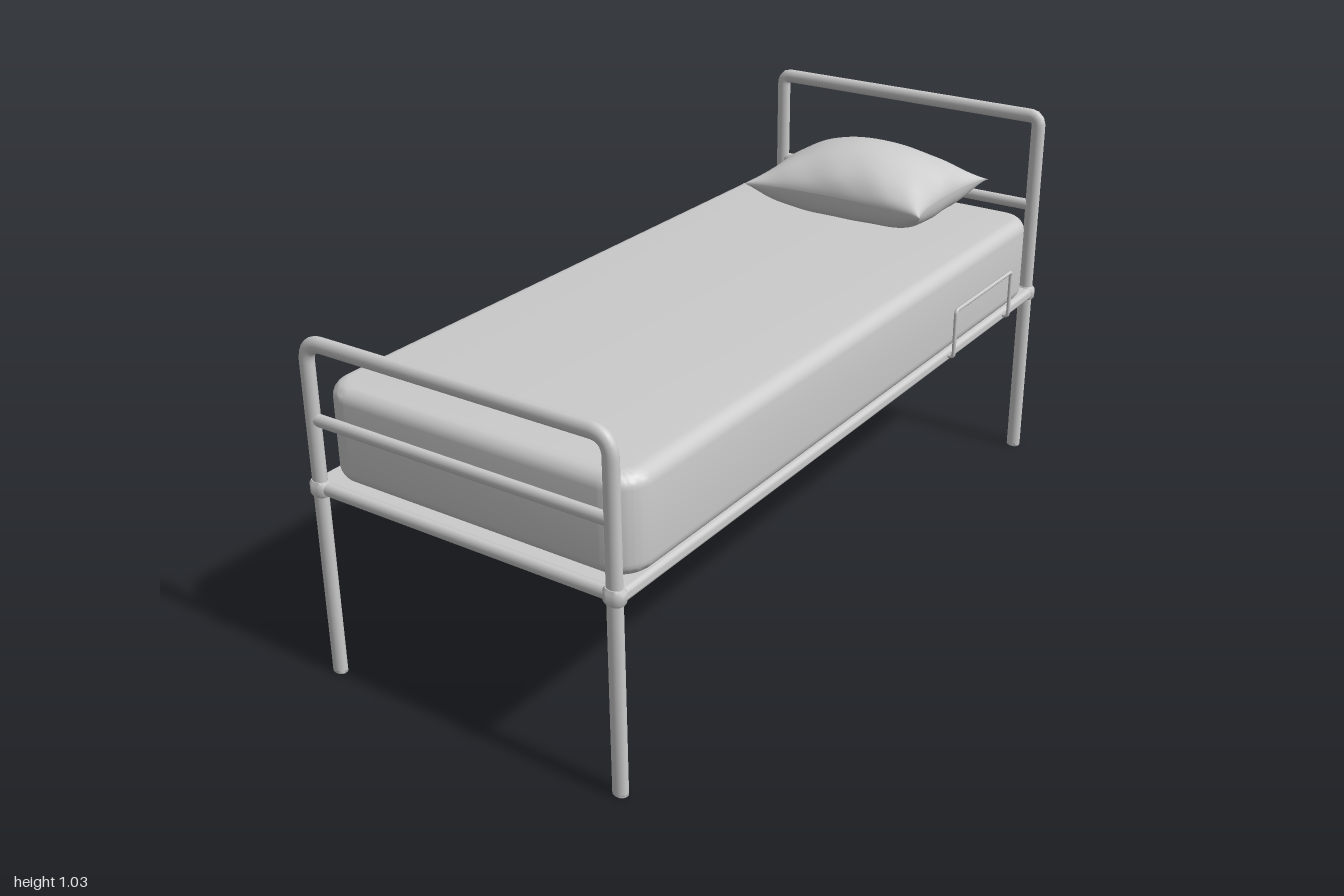
import * as THREE from 'three';
import { toCreasedNormals, mergeGeometries } from 'three/addons/utils/BufferGeometryUtils.js';
import { RoundedBoxGeometry } from 'three/addons/geometries/RoundedBoxGeometry.js';

const CX = -0.009;   // bed frame centre in x
const HALF = 0.412;  // half spacing of the posts
const END_Z = 0.985; // distance of the end frames from the middle
const R = 0.0195;    // tube radius across the bed
const FLAT = 0.77;   // tubes are slightly flattened along the bed

const material = new THREE.MeshStandardMaterial({ color: 0xcccccc });

function add(parent, name, geometry) {
  const mesh = new THREE.Mesh(geometry, material);
  mesh.name = name;
  parent.add(mesh);
  return mesh;
}

// Straight runs joined by rounded corners
function bentPath(points, radius) {
  const path = new THREE.CurvePath();
  let last = points[0];
  for (let i = 1; i < points.length - 1; i++) {
    const p = points[i];
    const toward = (q) => p.clone().add(q.clone().sub(p).setLength(radius));
    const a = toward(points[i - 1]);
    const b = toward(points[i + 1]);
    path.add(new THREE.LineCurve3(last, a));
    path.add(new THREE.QuadraticBezierCurve3(a, p, b));
    last = b;
  }
  path.add(new THREE.LineCurve3(last, points[points.length - 1]));
  return path;
}

// Bent tube with posts, cross bar, rail and collars
function endFrame(name, z, topY, barY, bend) {
  const group = new THREE.Group();
  group.name = name;
  const corners = [[-HALF, 0.004], [-HALF, topY], [HALF, topY], [HALF, 0.004]]
    .map(([x, y]) => new THREE.Vector3(x, y, 0));
  add(group, 'bentTube', new THREE.TubeGeometry(bentPath(corners, bend), 260, R, 16));

  add(group, 'crossBar', new THREE.CylinderGeometry(0.016, 0.016, HALF * 2, 16).rotateZ(Math.PI / 2))
    .position.y = barY;
  add(group, 'endRail', new THREE.CylinderGeometry(0.0165, 0.0165, HALF * 2, 16).rotateZ(Math.PI / 2))
    .position.y = 0.494;

  const collar = [[0, -0.019], [0.022, -0.019], [0.027, -0.012], [0.027, 0.012], [0.022, 0.019], [0, 0.019]]
    .map(([x, y]) => new THREE.Vector2(x, y));
  const foot = [[0, 0], [R - 0.004, 0], [R, 0.004], [R, 0.01]].map(([x, y]) => new THREE.Vector2(x, y));
  for (const x of [-HALF, HALF]) {
    add(group, 'collar', toCreasedNormals(new THREE.LatheGeometry(collar, 20), 0.9)).position.set(x, 0.494, 0);
    add(group, 'footCap', toCreasedNormals(new THREE.LatheGeometry(foot, 16), 0.9)).position.x = x;
  }
  group.position.set(CX, 0, z);
  group.scale.z = FLAT;
  return group;
}

// Rounded block with soft upper and lower edges
function mattressGeometry(w, h, d, corner, soft) {
  const x = w / 2 - soft, y = d / 2 - soft, r = corner - soft;
  const s = new THREE.Shape();
  s.moveTo(-x + r, -y);
  s.lineTo(x - r, -y).absarc(x - r, -y + r, r, -Math.PI / 2, 0);
  s.lineTo(x, y - r).absarc(x - r, y - r, r, 0, Math.PI / 2);
  s.lineTo(-x + r, y).absarc(-x + r, y - r, r, Math.PI / 2, Math.PI);
  s.lineTo(-x, -y + r).absarc(-x + r, -y + r, r, Math.PI, Math.PI * 1.5);
  const g = new THREE.ExtrudeGeometry(s, {
    depth: h - soft * 2, bevelThickness: soft, bevelSize: soft, bevelSegments: 6, curveSegments: 10,
  });
  g.translate(0, 0, -(h / 2 - soft)).rotateX(-Math.PI / 2);
  return toCreasedNormals(g, 0.7);
}

// Two puffed sheets meeting at a seam with pulled-out corners
function pillowGeometry() {
  const sheets = [1, -1].map((side) => {
    const g = new THREE.PlaneGeometry(2, 2, 44, 44).rotateX(-side * Math.PI / 2);
    const p = g.attributes.position;
    for (let i = 0; i < p.count; i++) {
      const u = Math.sin(p.getX(i) * Math.PI / 2);
      const v = Math.sin(p.getZ(i) * Math.PI / 2);
      const fu = Math.max(0, 1 - u * u), fv = Math.max(0, 1 - v * v);
      const puff = Math.pow(fu * fv, 0.55);
      const rim = Math.max(Math.abs(u), Math.abs(v));
      const crease = 0.005 * Math.sin(9 * u + 2 * v) * Math.sin(8 * v - 3 * u) * rim ** 3 * Math.min(1, puff * 3);
      const height = side > 0 ? 0.115 * puff + crease : -0.078 * Math.tanh(2.4 * puff) + crease * 0.5;
      p.setXYZ(i,
        0.277 * u * (1 - 0.12 * Math.pow(fv, 0.6)),
        height,
        0.207 * v * (1 - 0.17 * Math.pow(fu, 0.6)));
    }
    g.computeVertexNormals();
    return g;
  });
  return mergeGeometries(sheets);
}

export function createModel() {
  const bed = new THREE.Group();
  bed.name = 'bed';

  bed.add(endFrame('headboard', -END_Z, 1.011, 0.755, 0.026));
  bed.add(endFrame('footboard', END_Z, 0.852, 0.665, 0.05));

  // Platform with its edge forming the side rails
  add(bed, 'platform', new RoundedBoxGeometry(0.87, 0.032, END_Z * 2, 3, 0.011)).position.set(CX, 0.494, 0);

  add(bed, 'mattress', mattressGeometry(0.85, 0.238, 1.91, 0.08, 0.035)).position.set(0.003, 0.626, 0.01);

  add(bed, 'pillow', pillowGeometry()).position.set(0.013, 0.827, -0.722);

  // Bent grab rail on the left side near the head
  const rail = [[0.415, 0.495, -0.448], [0.441, 0.495, -0.448], [0.441, 0.627, -0.448],
    [0.441, 0.627, -0.784], [0.441, 0.495, -0.784], [0.415, 0.495, -0.784]]
    .map((c) => new THREE.Vector3(...c));
  add(bed, 'grabRail', new THREE.TubeGeometry(bentPath(rail, 0.011), 200, 0.0055, 8));

  return bed;
}
